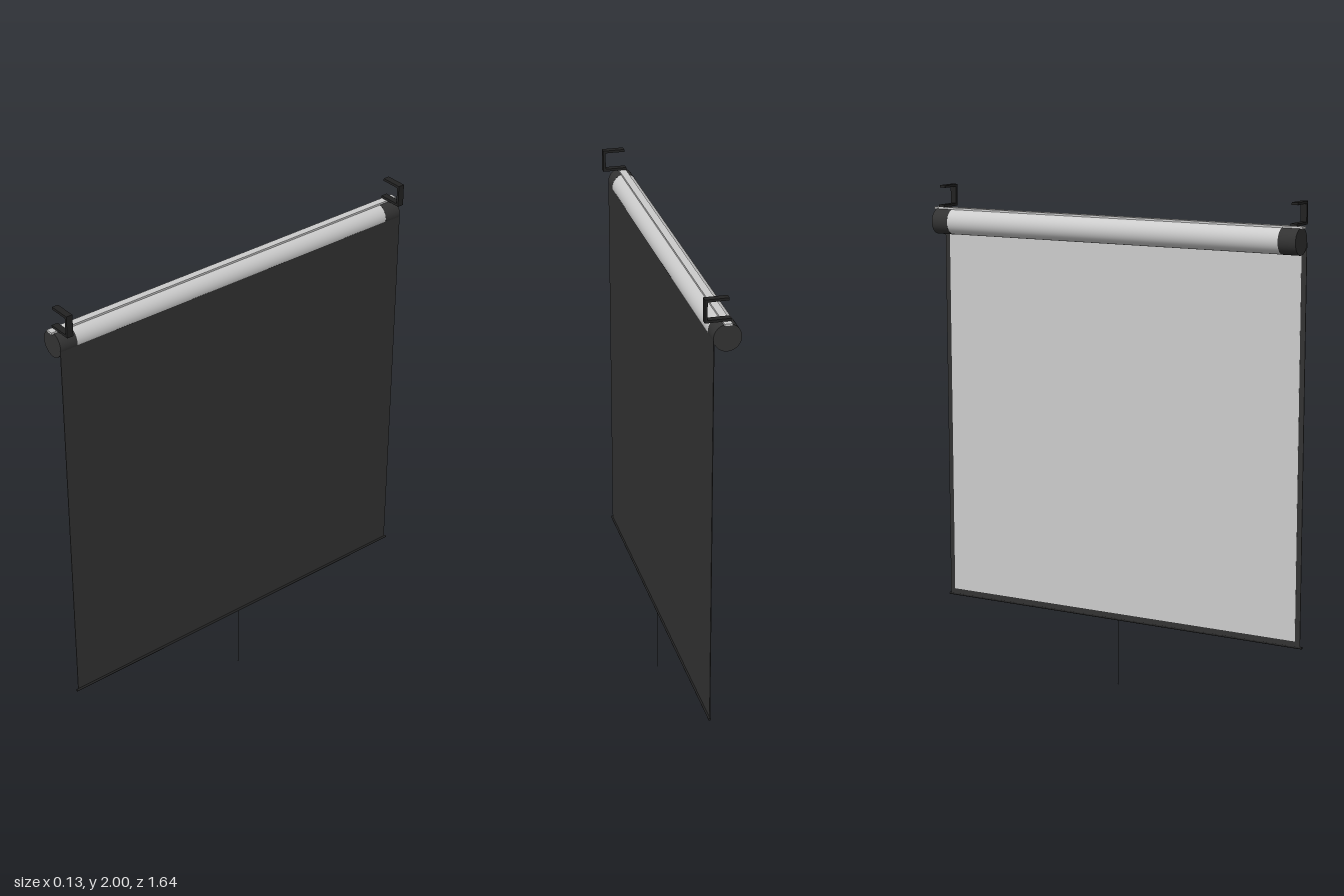
import * as THREE from 'three';

const grey = new THREE.MeshStandardMaterial({ color: 0xcccccc });
const dark = new THREE.MeshStandardMaterial({ color: 0x333333 });
const black = new THREE.MeshStandardMaterial({ color: 0x222222 });

export function createModel() {
  const model = new THREE.Group();

  function add(name, geometry, material, x, y, z) {
    const mesh = new THREE.Mesh(geometry, material);
    mesh.name = name;
    mesh.position.set(x, y, z);
    model.add(mesh);
    return mesh;
  }
  const box = (name, w, h, d, material, x, y, z) =>
    add(name, new THREE.BoxGeometry(w, h, d), material, x, y, z);
  const rod = (name, r, length, material, x, y, z) => {
    const geometry = new THREE.CylinderGeometry(r, r, length, 40).rotateX(Math.PI / 2);
    return add(name, geometry, material, x, y, z);
  };

  // Roller housing, running along z
  const rollX = -0.016, rollY = 1.855, rollR = 0.052;
  rod('rollerHousing', rollR - 0.0005, 1.48, grey, rollX, rollY, 0);

  // Mounting rail along the top of the housing
  box('mountingRail', 0.029, 0.009, 1.64, grey, rollX, 1.9075, 0);

  // Hanging bracket outline: a C open toward -x
  const hook = new THREE.Shape();
  [[-0.032, 1.912], [0.064, 1.912], [0.064, 2], [-0.024, 2],
    [-0.024, 1.99], [0.054, 1.99], [0.054, 1.922], [-0.032, 1.922]]
    .forEach(([x, y], i) => (i ? hook.lineTo(x, y) : hook.moveTo(x, y)));
  const hookGeometry = new THREE.ExtrudeGeometry(hook, { depth: 0.026, bevelEnabled: false });
  hookGeometry.translate(0, 0, -0.013);

  // End caps and brackets at both ends
  for (const side of [-1, 1]) {
    const end = side > 0 ? 'Front' : 'Back';
    rod('endCap' + end, rollR, 0.073, dark, rollX, rollY, side * 0.7725);
    add('bracket' + end, hookGeometry, black, 0, 0, side * 0.784);
  }

  // Hanging sheet: dark backing with a paler picture area inside a border
  box('sheetBacking', 0.003, 1.57, 1.62, dark, 0.0335, 1.062, 0);
  box('pictureArea', 0.001, 1.545, 1.578, grey, 0.0318, 1.0725, 0);

  // Weighted bottom bar
  rod('bottomBar', 0.005, 1.635, black, 0.036, 0.276, 0);

  // Pull cord with a small end bead
  add('pullCord', new THREE.CylinderGeometry(0.001, 0.001, 0.272, 8), black, 0.036, 0.138, 0);
  add('cordBead', new THREE.SphereGeometry(0.002, 10, 8), black, 0.036, 0.002, 0);

  return model;
}
